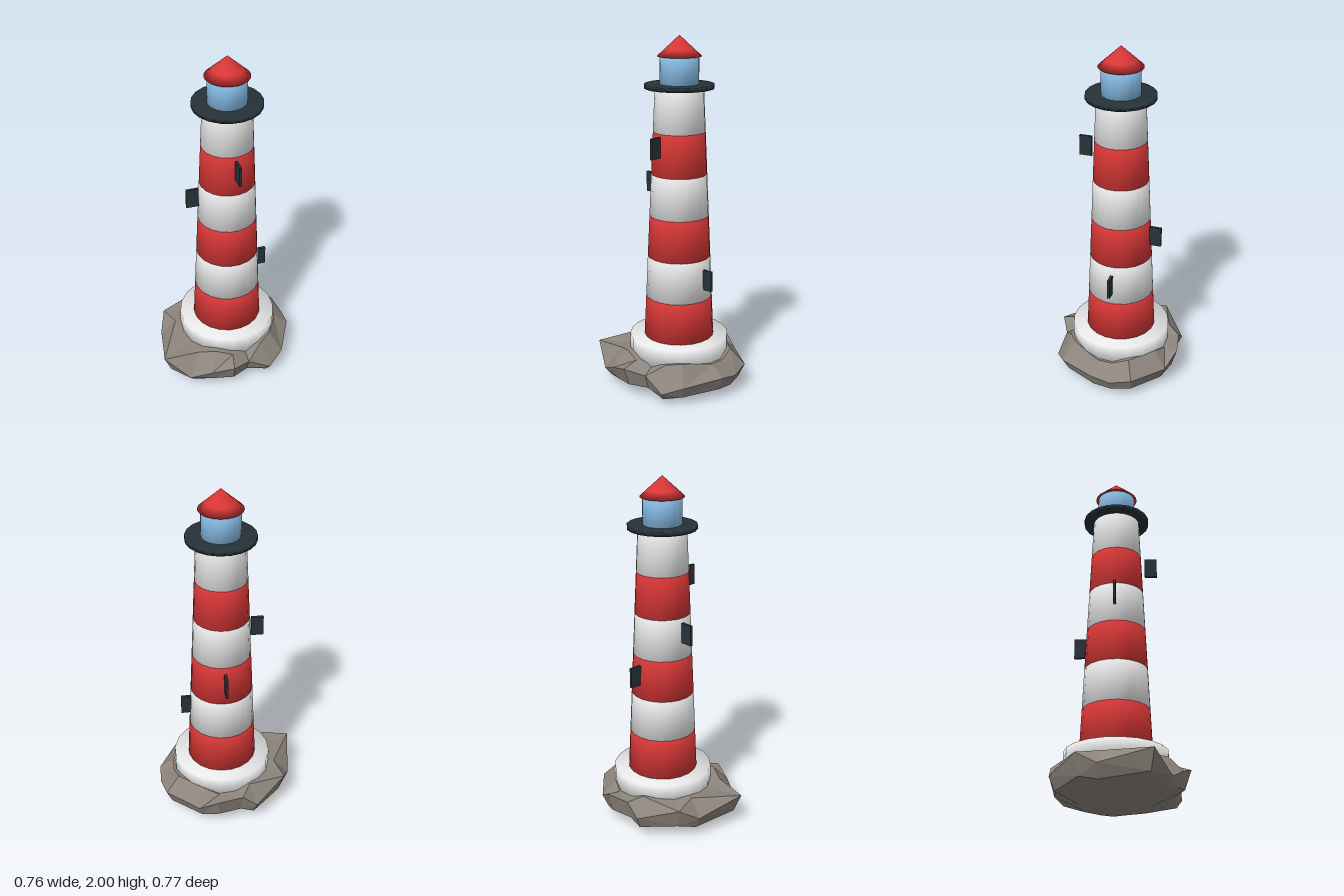
import * as THREE from 'three';
import { mergeVertices } from 'three/addons/utils/BufferGeometryUtils.js';

const mat = (name, color) => {
  const m = new THREE.MeshStandardMaterial({ color });
  m.name = name;
  return m;
};

// Tower axis sits slightly off the middle of the rock
const AX = 0.018, AZ = -0.025;
const SIDES = 20;

// Weld caps to walls so the normals run softly over the edges
function soften(geo) {
  geo.deleteAttribute('normal');
  geo.deleteAttribute('uv');
  const g = mergeVertices(geo, 1e-4);
  g.computeVertexNormals();
  return g;
}

// Flat-faced boulder made from loops that follow one outline
function rockGeometry() {
  // x, z, height of the widest loop
  const outline = [
    [-0.38, -0.023, 0.2], [-0.287, -0.243, 0.13], [-0.213, -0.284, 0.2], [-0.096, -0.379, 0.2],
    [0.017, -0.389, 0.13], [0.246, -0.342, 0.14], [0.326, -0.247, 0.12], [0.376, -0.144, 0.14],
    [0.38, 0.091, 0.12], [0.328, 0.2, 0.08], [0.209, 0.253, 0.15], [0.143, 0.356, 0.18],
    [0.016, 0.377, 0.14], [-0.116, 0.385, 0.08], [-0.273, 0.372, 0.19], [-0.367, 0.097, 0.13],
  ];
  const loop = (scale, height) => outline.map(([x, z, y], i) =>
    [AX + (x - AX) * scale, height(y, i), AZ + (z - AZ) * scale]);
  const loops = [
    loop(0, () => 0),
    loop(0.55, (y, i) => 0.01 + 0.005 * (i % 2)),
    loop(0.91, (y) => y * 0.4 + 0.005),
    loop(1, (y) => y),
    loop(0.78, (y, i) => 0.212 + 0.02 * Math.sin(i * 1.7)),
    loop(0, () => 0.22),
  ];
  const pos = [];
  const n = outline.length;
  for (let k = 0; k < loops.length - 1; k++) {
    for (let i = 0; i < n; i++) {
      const j = (i + 1) % n;
      const a = loops[k][i], b = loops[k][j], c = loops[k + 1][j], d = loops[k + 1][i];
      if (k === 0) pos.push(...b, ...d, ...c);
      else if (k === loops.length - 2) pos.push(...b, ...a, ...d);
      else if (i % 2) pos.push(...b, ...a, ...d, ...b, ...d, ...c);
      else pos.push(...a, ...d, ...c, ...a, ...c, ...b);
    }
  }
  const g = new THREE.BufferGeometry();
  g.setAttribute('position', new THREE.Float32BufferAttribute(pos, 3));
  g.computeVertexNormals();
  return g;
}

export function createModel() {
  const white = mat('white paint', 0xeeeeee);
  const red = mat('red paint', 0xd63636);
  const dark = mat('dark metal', 0x263238);
  const blue = mat('lantern glass', 0x88bde6);
  const stone = mat('rock', 0x8d857d);

  const model = new THREE.Group();
  model.name = 'lighthouse';
  const tower = new THREE.Group();
  tower.name = 'tower';
  tower.position.set(AX, 0, AZ);
  model.add(tower);

  const add = (parent, name, geo, material) => {
    const m = new THREE.Mesh(geo, material);
    m.name = name;
    parent.add(m);
    return m;
  };
  // Closed drum standing between two heights
  const drum = (name, rBottom, rTop, y0, y1, material) => {
    const geo = soften(new THREE.CylinderGeometry(rTop, rBottom, y1 - y0, SIDES));
    add(tower, name, geo, material).position.y = (y0 + y1) / 2;
  };

  add(model, 'rock', rockGeometry(), stone);
  drum('plinth', 0.282, 0.282, 0.16, 0.3, white);

  // Tapering tower in six painted bands
  const bands = 6, y0 = 0.3, y1 = 1.718, r0 = 0.199, r1 = 0.134;
  for (let i = 0; i < bands; i++) {
    const at = (a, b, t) => a + (b - a) * t / bands;
    drum('band' + (i + 1), at(r0, r1, i), at(r0, r1, i + 1),
      at(y0, y1, i), at(y0, y1, i + 1), i % 2 ? white : red);
  }

  // Gallery, lantern room and roof
  drum('gallery', 0.191, 0.191, 1.717, 1.74, dark);
  drum('lantern', 0.107, 0.107, 1.74, 1.89, blue);
  const roof = soften(new THREE.ConeGeometry(0.122, 0.112, SIDES, 3));
  add(tower, 'roof', roof, red).position.y = 1.944;

  // Narrow shutters that spiral up, standing out edgewise
  [0.66, 0.91, 1.165, 1.415].forEach((y, i) => {
    const angle = 0.5 + [1, 2, 3, 0][i] * Math.PI / 2;
    const s = add(tower, 'shutter' + (i + 1), new THREE.BoxGeometry(0.015, 0.115, 0.07), dark);
    s.position.set(Math.sin(angle) * 0.2, y, Math.cos(angle) * 0.2);
    s.rotation.y = angle;
  });

  return model;
}
